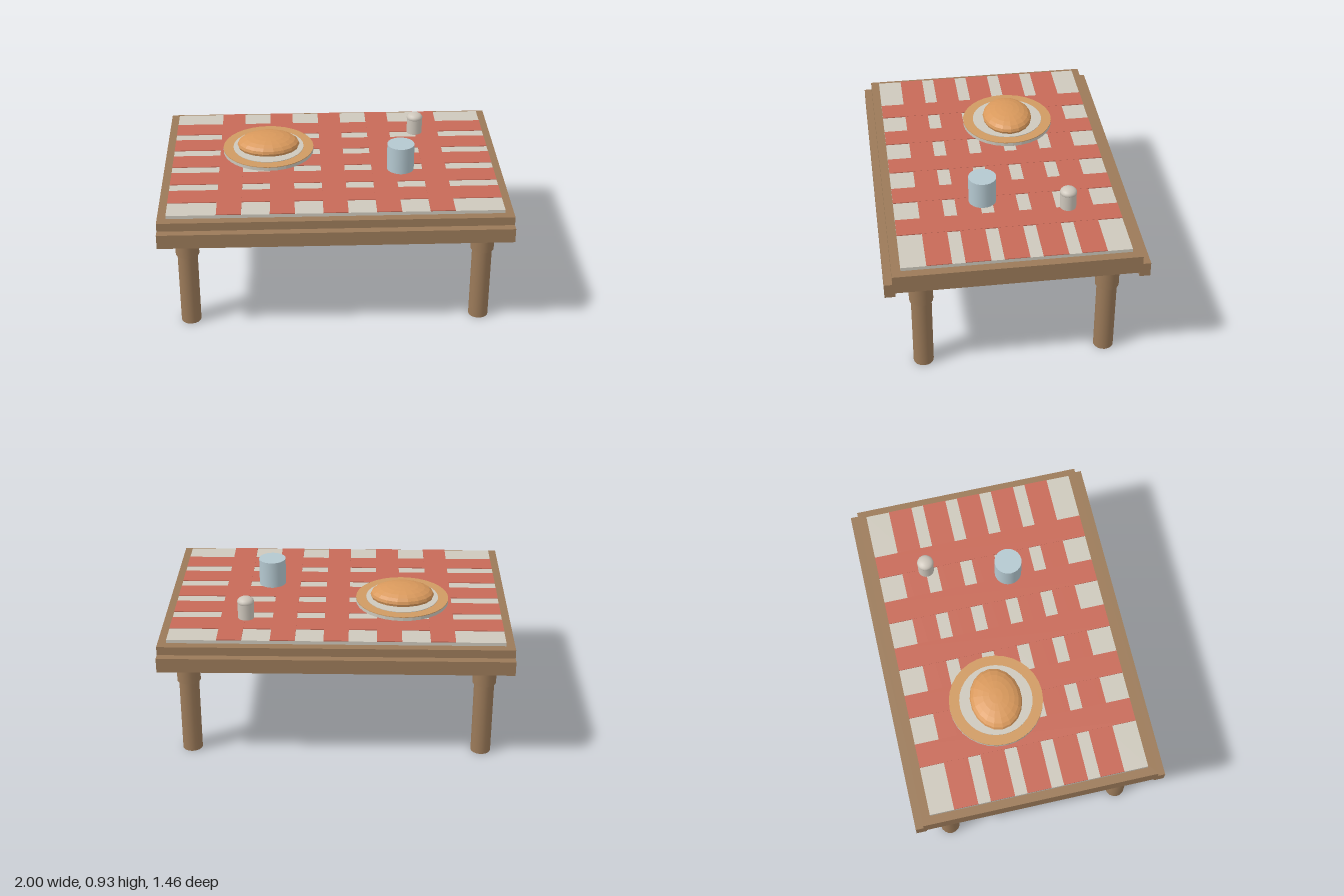
import * as THREE from 'three';

const material = (name, color) => {
  const m = new THREE.MeshStandardMaterial({ color });
  m.name = name;
  return m;
};

export function createModel() {
  const group = new THREE.Group();
  const wood = material('wood', 0x9b7a59);
  const linen = material('linen', 0xcdc8bc);
  const red = material('red stripe', 0xc76a58);
  const tan = material('plate rim', 0xcf9a62);
  const crust = material('bread crust', 0xd9995c);
  const blue = material('cup blue', 0xb4c8d0);
  const grey = material('shaker grey', 0xcdc6bb);

  const add = (name, geometry, mat, x, y, z) => {
    const mesh = new THREE.Mesh(geometry, mat);
    mesh.name = name;
    mesh.position.set(x, y, z);
    group.add(mesh);
    return mesh;
  };
  // boxes and cylinders placed by their bottom and top heights
  const box = (name, mat, w, d, y0, y1, x = 0, z = 0) =>
    add(name, new THREE.BoxGeometry(w, y1 - y0, d), mat, x, (y0 + y1) / 2, z);
  const cylinder = (name, mat, r, y0, y1, x, z, sides = 20) =>
    add(name, new THREE.CylinderGeometry(r, r, y1 - y0, sides), mat, x, (y0 + y1) / 2, z);

  // table top with a rail along the front and back edges
  box('tableTop', wood, 2, 1.37, 0.635, 0.745);
  for (const s of [-1, 1]) box('edgeRail', wood, 2, 0.06, 0.61, 0.695, 0, s * 0.7);

  // legs with a thicker upper sleeve
  for (const x of [-0.85, 0.85]) {
    for (const z of [-0.525, 0.525]) {
      cylinder('leg', wood, 0.058, 0, 0.455, x, z, 16);
      cylinder('legSleeve', wood, 0.068, 0.455, 0.636, x, z, 16);
    }
  }

  // checked tablecloth: crossing stripes laid on linen
  box('tablecloth', linen, 1.9, 1.27, 0.745, 0.765);
  for (let i = -2; i <= 2; i++) {
    box('longStripe', red, 1.9, 0.14, 0.765, 0.769, 0, i * 0.2125);
    box('crossStripe', red, 0.14, 1.27, 0.765, 0.77, i * 0.3, 0);
  }

  // plate with a coloured rim and a pale centre
  const px = -0.38, pz = -0.125;
  const profile = [[0, 0.768], [0.25, 0.768], [0.272, 0.776], [0.272, 0.796], [0, 0.796]];
  const plateGeometry = new THREE.LatheGeometry(
    profile.map(([r, y]) => new THREE.Vector2(r, y)), 32).toNonIndexed();
  plateGeometry.computeVertexNormals();
  add('plate', plateGeometry, linen, px, 0, pz);
  cylinder('plateRim', tan, 0.272, 0.796, 0.8, px, pz, 32);
  cylinder('plateCentre', linen, 0.212, 0.8, 0.803, px, pz, 32);

  // bread loaf: squashed ball with a flattened base
  const loafGeometry = new THREE.SphereGeometry(1, 18, 12).scale(0.187, 0.062, 0.15);
  const p = loafGeometry.attributes.position;
  for (let i = 0; i < p.count; i++) p.setY(i, Math.max(p.getY(i), -0.018));
  const loaf = loafGeometry.toNonIndexed();
  loaf.computeVertexNormals();
  add('bread', loaf, crust, px, 0.818, pz);

  // cup
  cylinder('cup', blue, 0.08, 0.769, 0.93, 0.4, 0.125, 24);

  // shaker with a domed cap
  cylinder('shaker', grey, 0.047, 0.769, 0.868, 0.525, -0.35);
  const cap = new THREE.SphereGeometry(0.049, 20, 10).scale(1, 0.6, 1);
  add('shakerCap', cap, grey, 0.525, 0.87, -0.35);

  return group;
}
